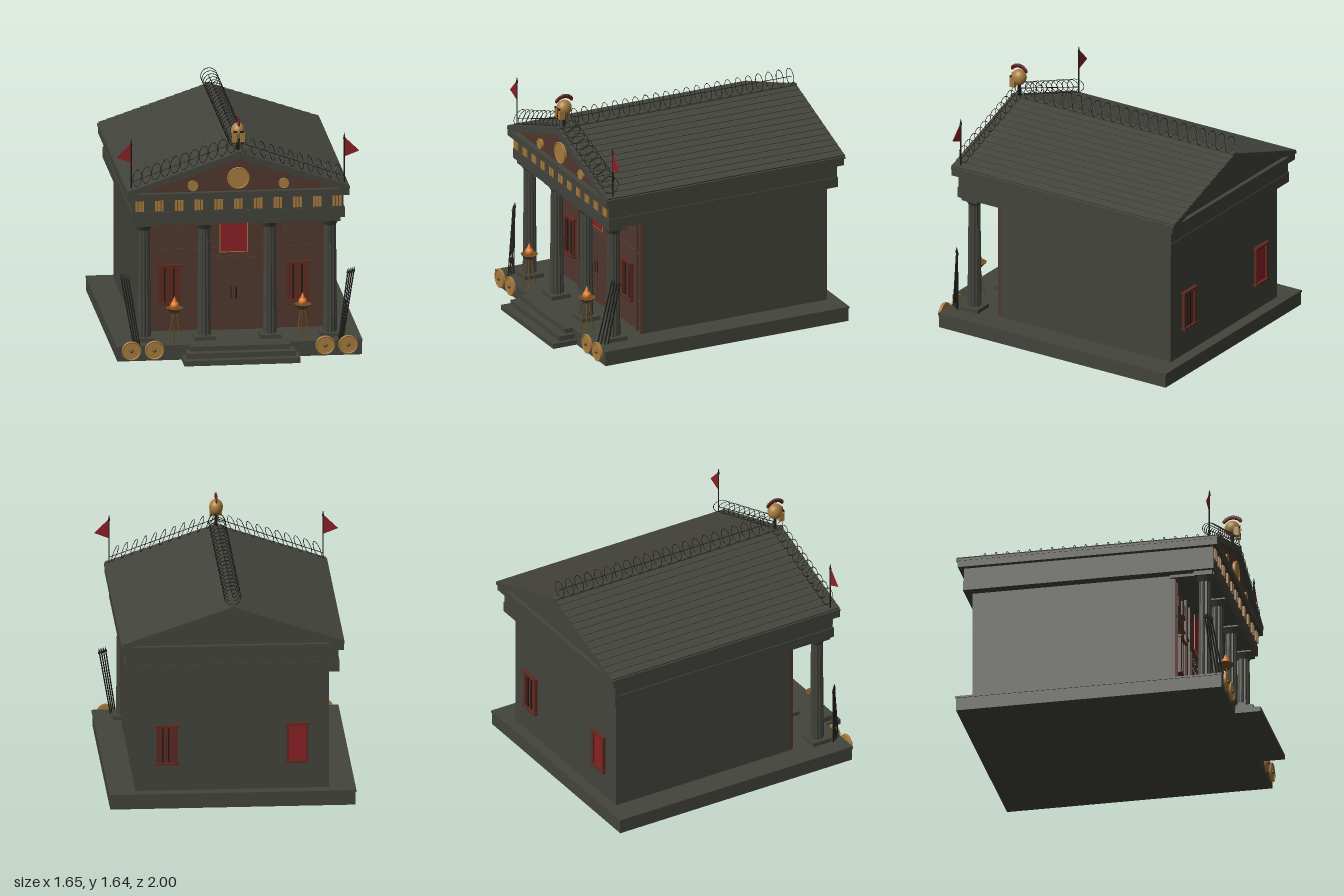
import * as THREE from 'three';

const mat = (name, color, extra = {}) => {
  const m = new THREE.MeshStandardMaterial({ color, ...extra });
  m.name = name;
  return m;
};

export function createModel() {
  const root = new THREE.Group();
  root.name = 'temple';
  const stone = mat('dark stone', 0x43443c);
  const wood = mat('brown wood', 0x50382e);
  const shutter = mat('red brown shutter', 0x5e2a20);
  const gold = mat('gold', 0xa87c3e);
  const bronze = mat('dark bronze', 0x6e5028);
  const red = mat('red cloth', 0x8c2024, { side: THREE.DoubleSide });
  const black = mat('black iron', 0x1d1b19);
  const flame = mat('flame orange', 0xe07a24);
  const crestRed = mat('dark red crest', 0x571a1c);

  const add = (name, geo, m, x = 0, y = 0, z = 0, parent = root) => {
    const mesh = new THREE.Mesh(geo, m);
    mesh.name = name;
    mesh.position.set(x, y, z);
    parent.add(mesh);
    return mesh;
  };
  // Box given by its limits
  const box = (name, m, x0, x1, y0, y1, z0, z1, parent = root) =>
    add(name, new THREE.BoxGeometry(x1 - x0, y1 - y0, z1 - z0), m, (x0 + x1) / 2, (y0 + y1) / 2, (z0 + z1) / 2, parent);
  // Thin rod between two points
  const rod = (name, m, a, b, r, parent = root, rTop = r) => {
    const p = new THREE.Vector3(...a), q = new THREE.Vector3(...b), d = q.clone().sub(p);
    const mesh = add(name, new THREE.CylinderGeometry(rTop, r, d.length(), 6), m, 0, 0, 0, parent);
    mesh.position.copy(p).add(q).multiplyScalar(0.5);
    mesh.quaternion.setFromUnitVectors(new THREE.Vector3(0, 1, 0), d.normalize());
    return mesh;
  };
  // Polygon in the xy plane extruded from z0 to z1
  const prism = (name, m, pts, z0, z1) => add(name, new THREE.ExtrudeGeometry(
    new THREE.Shape(pts.map(p => new THREE.Vector2(...p))), { depth: z1 - z0, bevelEnabled: false }), m, 0, 0, z0);
  const disc = (name, m, r, depth, x, y, z, sides = 28, parent = root) =>
    add(name, new THREE.CylinderGeometry(r, r, depth, sides).rotateX(Math.PI / 2), m, x, y, z, parent);

  // Platform and steps
  box('platform', stone, -0.82, 0.82, 0, 0.09, -0.985, 0.825);
  box('platformEdge', stone, -0.825, 0.825, 0.09, 0.103, -0.99, 0.83);
  [[0.39, 0.035, 1], [0.365, 0.07, 0.942], [0.335, 0.102, 0.885]].forEach(([w, h, z]) =>
    box('step', stone, -w, w, 0, h, 0.8, z));

  // Main hall with wooden front
  box('hall', stone, -0.645, 0.645, 0.1, 0.935, -0.91, 0.445);
  box('frontWall', wood, -0.645, 0.645, 0.1, 0.915, 0.445, 0.46);
  box('porchCeiling', stone, -0.66, 0.66, 0.91, 0.935, 0.44, 0.74);
  box('wallRail', wood, -0.64, 0.64, 0.655, 0.668, 0.46, 0.47);
  for (const s of [-1, 1]) {
    for (const x of [0.17, 0.29, 0.57, 0.63]) box('wallBatten', wood, s * x - 0.01, s * x + 0.01, 0.1, 0.91, 0.46, 0.474);
    // Upper panels with a crossed inlay
    for (const x of [0.345, 0.51]) {
      box('upperPanel', wood, s * x - 0.055, s * x + 0.055, 0.755, 0.855, 0.46, 0.468);
      box('panelUpright', stone, s * x - 0.004, s * x + 0.004, 0.77, 0.84, 0.468, 0.471);
      box('panelCrossbar', stone, s * x - 0.016, s * x + 0.016, 0.81, 0.816, 0.468, 0.471);
    }
  }

  // Double door
  box('doorFrame', wood, -0.155, 0.155, 0.1, 0.612, 0.46, 0.468);
  for (const s of [-1, 1]) {
    box('doorLeaf', wood, s * 0.075 - 0.073, s * 0.075 + 0.073, 0.1, 0.6, 0.468, 0.478);
    rod('doorHandle', black, [s * 0.017, 0.32, 0.485], [s * 0.017, 0.4, 0.485], 0.004);
    for (let i = 0; i < 3; i++) for (let j = 0; j < 7; j++)
      add('doorStud', new THREE.BoxGeometry(0.012, 0.012, 0.01), wood, s * (0.04 + i * 0.038), 0.15 + j * 0.067, 0.481);
  }

  // Banner over the door
  box('bannerTrim', gold, -0.096, 0.096, 0.64, 0.897, 0.482, 0.487);
  box('bannerCloth', red, -0.089, 0.089, 0.647, 0.89, 0.487, 0.49);

  // Shuttered windows, front pair and back pair
  const makeWindow = (x, z, turn, pane, bars) => {
    const g = new THREE.Group();
    g.name = 'window';
    box('windowPane', pane, -0.06, 0.06, 0.3, 0.55, 0, 0.006, g);
    for (const s of [-1, 1]) box('windowJamb', shutter, s * 0.064 - 0.008, s * 0.064 + 0.008, 0.29, 0.555, 0, 0.02, g);
    for (const y of [0.293, 0.555]) box('windowSill', shutter, -0.08, 0.08, y - 0.008, y + 0.008, 0, 0.027, g);
    for (const b of bars) box('windowBar', black, b - 0.005, b + 0.005, 0.3, 0.55, 0.006, 0.014, g);
    g.position.set(x, 0, z);
    g.rotation.y = turn;
    root.add(g);
  };
  for (const s of [-1, 1]) makeWindow(s * 0.43, 0.46, 0, shutter, [-0.03, 0.03]);
  makeWindow(0.435, -0.91, Math.PI, shutter, [-0.03, 0.01]);
  makeWindow(-0.435, -0.91, Math.PI, red, []);

  // Fluted columns
  const flutes = 12, outline = new THREE.Shape();
  for (let i = 0; i < flutes * 2; i++) {
    const a = i * Math.PI / flutes, r = i % 2 ? 0.041 : 0.047;
    outline[i ? 'lineTo' : 'moveTo'](Math.cos(a) * r, Math.sin(a) * r);
  }
  const shaft = new THREE.ExtrudeGeometry(outline, { depth: 0.74, bevelEnabled: false }).rotateX(-Math.PI / 2);
  const sp = shaft.attributes.position;
  for (let i = 0; i < sp.count; i++) if (sp.getY(i) > 0.5) sp.setXYZ(i, sp.getX(i) * 0.85, sp.getY(i), sp.getZ(i) * 0.85);
  shaft.computeVertexNormals();
  for (const x of [-0.625, -0.22, 0.22, 0.625]) {
    box('columnPlinth', stone, x - 0.07, x + 0.07, 0.1, 0.13, 0.6, 0.74);
    add('columnShaft', shaft, stone, x, 0.13, 0.67);
    add('columnCapital', new THREE.CylinderGeometry(0.06, 0.04, 0.035, 16), stone, x, 0.883, 0.67);
    box('columnAbacus', stone, x - 0.063, x + 0.063, 0.9, 0.932, 0.607, 0.733);
  }

  // Entablature
  box('architrave', stone, -0.715, 0.715, 0.93, 1.0, -0.96, 0.748);
  box('frieze', stone, -0.708, 0.708, 1.0, 1.09, -0.955, 0.742);
  box('cornice', stone, -0.742, 0.742, 1.09, 1.135, -0.99, 0.778);
  for (let i = -5; i <= 5; i++) {
    box('triglyphBack', bronze, i * 0.1325 - 0.029, i * 0.1325 + 0.029, 1.01, 1.083, 0.742, 0.748);
    for (const k of [-1, 0, 1]) box('triglyphBar', gold, i * 0.1325 + k * 0.021 - 0.0075, i * 0.1325 + k * 0.021 + 0.0075, 1.01, 1.083, 0.748, 0.756);
  }

  // Gables and roof
  prism('frontGable', wood, [[-0.7, 1.135], [0.7, 1.135], [0, 1.375]], 0.5, 0.74);
  prism('backGable', stone, [[-0.7, 1.135], [0.7, 1.135], [0, 1.375]], -0.96, 0.5);
  prism('roof', stone, [[-0.745, 1.135], [-0.68, 1.135], [0, 1.362], [0.68, 1.135], [0.745, 1.135], [0.745, 1.15], [0, 1.402], [-0.745, 1.15]], -1, 0.78);
  const slope = Math.atan2(0.252, 0.745), roofY = x => 1.402 - 0.338 * Math.abs(x);
  for (const s of [-1, 1]) for (let i = 0; i < 13; i++) {
    const x = 0.031 + i * 0.0565;
    const tile = add('roofCourse', new THREE.BoxGeometry(0.059, 0.009, 1.778), stone, s * x, roofY(x) + 0.002, -0.11);
    tile.rotation.z = -s * (slope - 0.06);
  }
  box('ridgeCap', stone, -0.02, 0.02, 1.39, 1.412, -1, 0.78);

  // Gable medallions
  for (const [x, y, r] of [[0, 1.225, 0.076], [-0.305, 1.18, 0.036], [0.305, 1.18, 0.036]]) {
    disc('medallion', gold, r * 0.92, 0.02, x, y, 0.748);
    add('medallionRim', new THREE.TorusGeometry(r * 0.93, r * 0.07, 6, 32), gold, x, y, 0.758);
  }

  // Barbed wire coils on the ridge and front rakes
  const ring = new THREE.TorusGeometry(0.056, 0.0022, 4, 24);
  for (let i = 0; i < 22; i++) add('ridgeCoil', ring, black, 0, 1.466, 0.645 - i * 0.0763);
  rod('ridgeWire', black, [0, 1.466, 0.65], [0, 1.466, -0.97], 0.0025);
  for (const s of [-1, 1]) {
    rod('rakeWire', black, [s * 0.71, 1.21, 0.72], [0, 1.465, 0.72], 0.0025);
    for (let i = 0; i < 11; i++) {
      const x = 0.04 + i * 0.0635;
      const coil = add('rakeCoil', ring, black, s * x, roofY(x) + 0.06, 0.72);
      coil.rotation.set(0, s * 1.2, s * 0.28, 'ZYX');
    }
  }

  // Corner flags
  for (const s of [-1, 1]) {
    rod('flagPole', black, [s * 0.715, 1.13, 0.72], [s * 0.715, 1.475, 0.72], 0.005);
    rod('flagPoleTip', black, [s * 0.715, 1.465, 0.72], [s * 0.715, 1.505, 0.72], 0.009, root, 0.001);
    prism('flag', red, [[s * 0.718, 1.475], [s * 0.815, 1.38], [s * 0.718, 1.343]], 0.718, 0.722);
  }

  // Helmet on the apex
  const helmet = new THREE.Group();
  helmet.name = 'helmet';
  helmet.position.set(0, 1.545, 0.725);
  root.add(helmet);
  add('helmetDome', new THREE.SphereGeometry(0.05, 24, 16).scale(0.92, 1.1, 1.05), gold, 0, 0, 0, helmet);
  rod('helmetStand', black, [0, -0.14, 0], [0, -0.04, 0], 0.012, helmet);
  for (const s of [-1, 1]) {
    box('cheekGuard', gold, s * 0.025 - 0.016, s * 0.025 + 0.016, -0.068, -0.005, 0.015, 0.05, helmet);
    box('eyeSlit', black, s * 0.021 - 0.013, s * 0.021 + 0.013, -0.004, 0.008, 0.045, 0.054, helmet);
  }
  box('noseGuard', gold, -0.005, 0.005, -0.04, 0.02, 0.045, 0.058, helmet);
  box('mouthSlit', black, -0.007, 0.007, -0.06, -0.01, 0.045, 0.052, helmet);
  for (let i = 0; i < 11; i++) {
    const a = (i / 10 - 0.5) * 1.9;
    add('crestTuft', new THREE.SphereGeometry(0.012, 8, 6).scale(0.65, 1.3, 1), crestRed, 0, 0.02 + Math.cos(a) * 0.062, Math.sin(a) * 0.068, helmet);
  }

  for (const s of [-1, 1]) {
    // Fire tripods
    const t = new THREE.Group();
    t.name = 'brazier';
    t.position.set(s * 0.43, 0, 0.77);
    root.add(t);
    for (let k = 0; k < 3; k++) {
      const a = k * Math.PI * 2 / 3 + Math.PI / 6, c = Math.cos(a), d = Math.sin(a);
      rod('brazierLeg', bronze, [c * 0.05, 0.1, d * 0.05], [c * 0.014, 0.32, d * 0.014], 0.005, t);
    }
    add('brazierBowl', new THREE.CylinderGeometry(0.058, 0.025, 0.035, 16), bronze, 0, 0.328, 0, t);
    add('flameBase', new THREE.SphereGeometry(0.03, 10, 8), flame, 0, 0.362, 0, t);
    add('flameTip', new THREE.ConeGeometry(0.027, 0.065, 8), flame, 0, 0.395, 0, t);

    // Round shields
    for (const x of [0.573, 0.727]) {
      disc('shield', gold, 0.064, 0.014, s * x, 0.075, 0.838);
      add('shieldRim', new THREE.TorusGeometry(0.06, 0.006, 6, 28), gold, s * x, 0.075, 0.845);
      add('shieldBoss', new THREE.SphereGeometry(0.014, 10, 8), bronze, s * x, 0.075, 0.847);
    }

    // Leaning spears
    for (let k = 0; k < 4; k++) {
      const top = [s * (0.735 + k * 0.015), 0.54, 0.74 - k * 0.012], foot = [s * (0.668 + k * 0.012), 0.1, 0.81 - k * 0.02];
      rod('spearShaft', black, foot, top, 0.005);
      rod('spearHead', black, top, [top[0] + s * 0.005, 0.575, top[2] - 0.004], 0.01, root, 0.001);
    }
  }
  return root;
}
